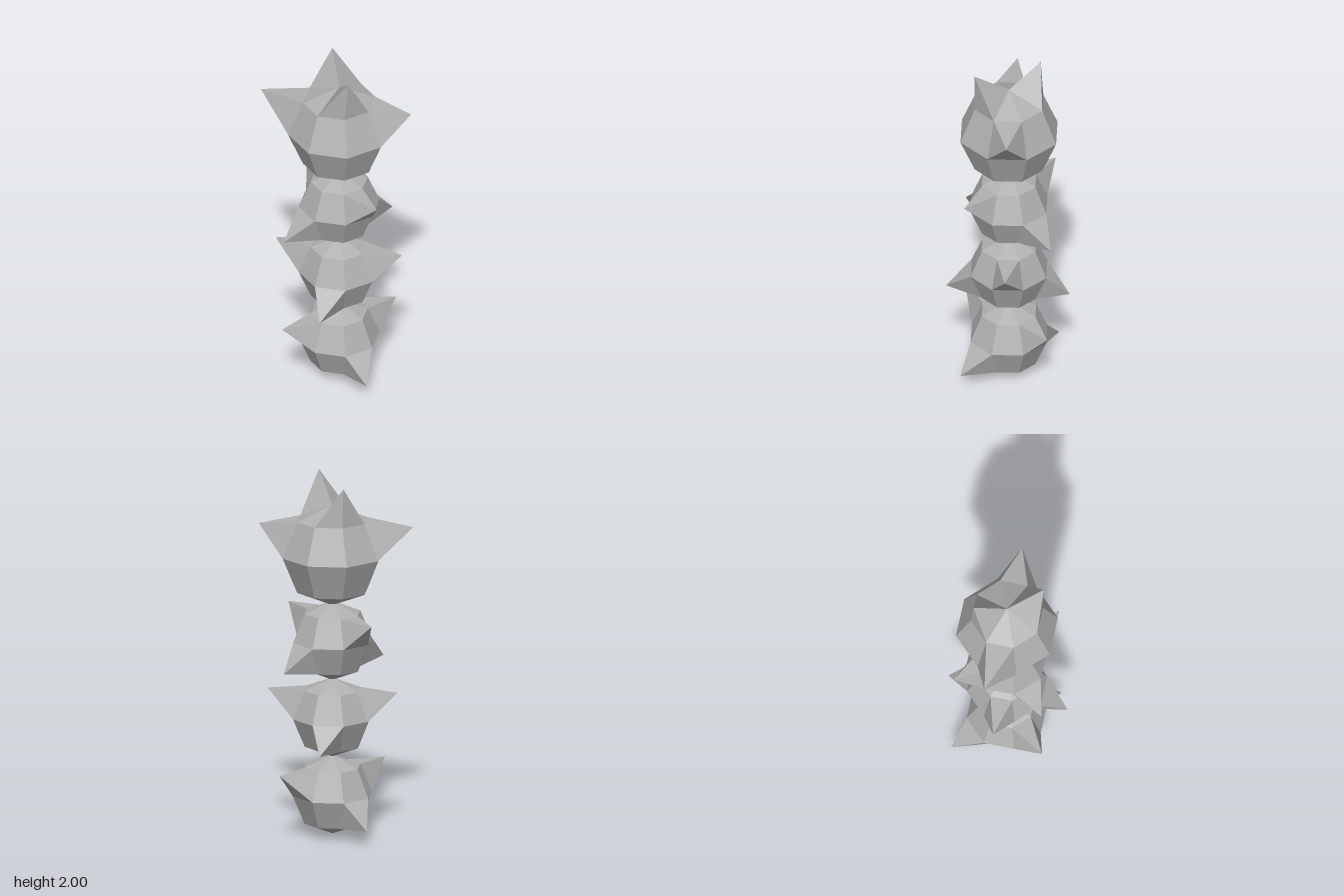
import * as THREE from 'three';

const CX = 0.023, CZ = -0.004; // axis of the stack

// Faceted ball of eight sides whose quads can be raised into pyramid spikes
function spikedBall(name, cy, r, tips, material) {
  const centre = new THREE.Vector3(CX, cy, CZ);
  const at = (elev, step) => {
    const e = elev * Math.PI / 4, t = step * Math.PI / 4;
    return new THREE.Vector3(Math.cos(e) * Math.cos(t), Math.sin(e), Math.cos(e) * Math.sin(t))
      .multiplyScalar(r).add(centre);
  };
  const quads = [];
  // Two bands of quads around the equator
  for (const low of [-1, 0]) {
    for (let i = 0; i < 8; i++) {
      quads.push([at(low, i), at(low + 1, i), at(low + 1, i + 1), at(low, i + 1)]);
    }
  }
  // Caps of four quads each, meeting at the poles
  for (let i = 0; i < 8; i += 2) {
    quads.push([at(2, 0), at(1, i + 2), at(1, i + 1), at(1, i)]);
    quads.push([at(-2, 0), at(-1, i), at(-1, i + 1), at(-1, i + 2)]);
  }

  // Each tip belongs to the quad that faces it best
  const spikes = new Map();
  for (const tip of tips) {
    const p = new THREE.Vector3(...tip);
    const dir = p.clone().sub(centre).normalize();
    let best = null, bestDot = -Infinity;
    for (const q of quads) {
      const mid = q.reduce((s, v) => s.add(v), new THREE.Vector3()).divideScalar(4);
      const dot = mid.sub(centre).normalize().dot(dir);
      if (dot > bestDot) { bestDot = dot; best = q; }
    }
    spikes.set(best, p);
  }

  const points = [];
  for (const q of quads) {
    const tip = spikes.get(q);
    if (tip) q.forEach((v, i) => points.push(v, q[(i + 1) % 4], tip));
    else points.push(q[0], q[1], q[2], q[0], q[2], q[3]);
  }
  const geometry = new THREE.BufferGeometry().setFromPoints(points);
  geometry.computeVertexNormals(); // unshared corners give flat facets
  const mesh = new THREE.Mesh(geometry, material);
  mesh.name = name;
  return mesh;
}

export function createModel() {
  const group = new THREE.Group();
  group.name = 'spikedStack';
  const grey = new THREE.MeshStandardMaterial({ color: 0xb0b0b0, flatShading: true });
  grey.name = 'grey';

  group.add(
    spikedBall('bottomSegment', 0.227, 0.222, [
      [-0.12, 0.38, 0.325], [0.185, 0.375, -0.305],
      [0.32, 0.09, 0.15], [-0.28, 0.09, -0.165],
    ], grey),
    spikedBall('middleSegment', 0.659, 0.222, [
      [0.13, 0.52, 0.322], [-0.075, 0.52, -0.322],
      [0.355, 0.81, -0.13], [-0.305, 0.805, 0.13],
    ], grey),
    spikedBall('upperSegment', 1.089, 0.222, [
      [-0.115, 0.95, 0.318], [0.155, 0.95, -0.313],
      [0.36, 1.24, 0.11], [-0.293, 1.233, -0.137],
    ], grey),
    // Head with two side spikes and two raised horns
    spikedBall('head', 1.567, 0.281, [
      [-0.4, 1.745, 0.138], [0.395, 1.735, -0.158],
      [0.182, 2.0, 0.13], [-0.115, 1.983, -0.13],
    ], grey),
  );
  return group;
}
